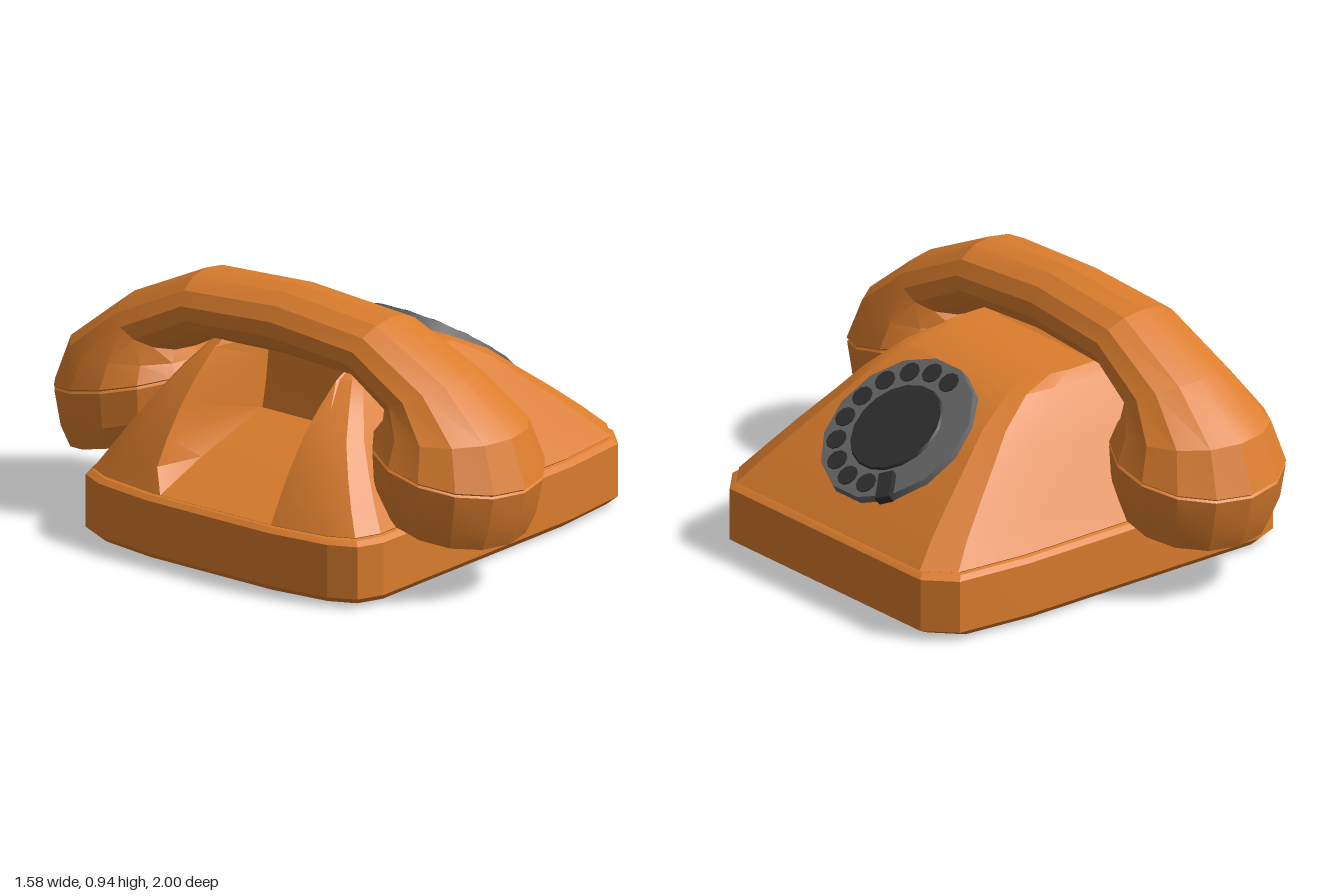
import * as THREE from 'three';
import { toCreasedNormals } from 'three/addons/utils/BufferGeometryUtils.js';

const orange = new THREE.MeshStandardMaterial({ color: 0xdb7d2d });
orange.name = 'orange plastic';
const grey = new THREE.MeshStandardMaterial({ color: 0x686868 });
grey.name = 'grey dial';
const dark = new THREE.MeshStandardMaterial({ color: 0x303030 });
dark.name = 'dark plastic';

// Skin a list of rings (arrays of Vector3) and close both ends.
// capDirs gives the vertical facing (+1 / -1) of the first and last cap.
function loft(rings, capDirs) {
  const n = rings[0].length;
  const index = [];
  for (let j = 0; j < rings.length - 1; j++) {
    for (let i = 0; i < n; i++) {
      const k = (i + 1) % n;
      const a = j * n + i, b = j * n + k, c = b + n, d = a + n;
      index.push(a, d, c, a, c, b);
    }
  }
  [0, rings.length - 1].forEach((j, end) => {
    const flat = rings[j].map((p) => new THREE.Vector2(p.x, p.z));
    for (const [a, b, c] of THREE.ShapeUtils.triangulateShape(flat, [])) {
      const e = flat[b].clone().sub(flat[a]), f = flat[c].clone().sub(flat[a]);
      const facing = e.y * f.x - e.x * f.y;
      const tri = facing * capDirs[end] > 0 ? [a, b, c] : [a, c, b];
      index.push(...tri.map((v) => v + j * n));
    }
  });
  const geo = new THREE.BufferGeometry().setFromPoints(rings.flat());
  geo.setIndex(index);
  return toCreasedNormals(geo, 0.3);
}

function addMesh(parent, name, geometry, material) {
  const mesh = new THREE.Mesh(geometry, material);
  mesh.name = name;
  parent.add(mesh);
  return mesh;
}

// Horizontal outline of the housing: chamfered front, rounded rear corners,
// and a rear notch reaching in to xHollow.
function housingRing([y, xBack, xHollow, xFront, zHalf]) {
  const len = xFront - xBack;
  const half = [
    [xFront, 0.8 * zHalf],
    [xFront - 0.06 * len, 0.955 * zHalf],
    [xFront - 0.24 * len, zHalf],
    [xBack + 0.11 * len, zHalf],
    [xBack + 0.05 * len, 0.94 * zHalf],
    [xBack + 0.02 * len, Math.max(0.79 * zHalf, 0.275)],
    [xBack, 0.27],
    [xHollow, 0.22],
  ];
  const other = half.map(([x, z]) => [x, -z]).reverse();
  return [...half, ...other].map(([x, z]) => new THREE.Vector3(x, y, z));
}

// Handset cross-section between an outer and an inner point in the zy plane.
function handsetRing([zo, yo, zi, yi, width]) {
  const ring = [];
  for (let i = 0; i < 14; i++) {
    const a = (i / 14) * Math.PI * 2;
    const c = Math.cos(a) / 2;
    ring.push(new THREE.Vector3(
      -0.29 + width * Math.sin(a),
      (yo + yi) / 2 + (yo - yi) * c,
      (zo + zi) / 2 + (zo - zi) * c,
    ));
  }
  return ring;
}

function makeDial() {
  const dial = new THREE.Group();
  dial.name = 'dial';
  dial.position.set(0.465, 0.535, 0);
  dial.rotation.z = -Math.atan2(0.6, 0.8);

  const rim = addMesh(dial, 'dialRim', new THREE.CylinderGeometry(0.296, 0.3, 0.046, 14), grey);
  rim.position.y = -0.023;
  const plate = addMesh(dial, 'dialCentre', new THREE.CylinderGeometry(0.175, 0.18, 0.009, 18), dark);
  plate.position.y = 0.0045;

  // Ten finger holes
  for (let i = 0; i < 10; i++) {
    const a = THREE.MathUtils.degToRad(-14 + i * 23.2);
    const hole = addMesh(dial, 'fingerHole', new THREE.CylinderGeometry(0.039, 0.039, 0.006, 10), dark);
    hole.position.set(0.236 * Math.cos(a), 0.002, 0.236 * Math.sin(a));
  }

  const stop = addMesh(dial, 'fingerStop', new THREE.BoxGeometry(0.11, 0.035, 0.055), dark);
  const a = THREE.MathUtils.degToRad(-36);
  stop.position.set(0.265 * Math.cos(a), 0.008, 0.265 * Math.sin(a));
  stop.rotation.y = -a;
  return dial;
}

export function createModel() {
  const phone = new THREE.Group();
  phone.name = 'telephone';

  // Base tray: y, xBack, xHollow, xFront, zHalf
  const base = [
    [0, -0.71, -0.71, 0.68, 0.59],
    [0.012, -0.765, -0.765, 0.74, 0.62],
    [0.035, -0.79, -0.79, 0.785, 0.64],
    [0.225, -0.79, -0.79, 0.785, 0.64],
    [0.24, -0.772, -0.772, 0.765, 0.622],
    [0.246, -0.755, -0.755, 0.75, 0.605],
  ];
  addMesh(phone, 'base', loft(base.map(housingRing), [-1, 1]), orange);

  // Upper shell with the carrying hollow at the back
  const shell = [
    [0.24, -0.755, -0.755, 0.75, 0.605],
    [0.25, -0.775, -0.775, 0.772, 0.617],
    [0.33, -0.73, -0.55, 0.685, 0.565],
    [0.42, -0.675, -0.22, 0.575, 0.51],
    [0.52, -0.6, -0.2, 0.445, 0.445],
    [0.6, -0.52, -0.19, 0.345, 0.395],
    [0.68, -0.42, -0.18, 0.19, 0.335],
    [0.71, -0.35, -0.17, 0.04, 0.3],
  ];
  addMesh(phone, 'shell', loft(shell.map(housingRing), [-1, 1]), orange);

  // Handset: outer z, outer y, inner z, inner y, half width
  const half = [
    [0.41, 0.905, 0.33, 0.68, 0.182],
    [0.73, 0.75, 0.46, 0.61, 0.212],
    [0.94, 0.58, 0.44, 0.575, 0.268],
    [1.0, 0.41, 0.41, 0.54, 0.31],
    [0.99, 0.403, 0.42, 0.533, 0.302],
    [0.998, 0.396, 0.41, 0.526, 0.309],
    [0.968, 0.27, 0.42, 0.4, 0.3],
    [0.93, 0.195, 0.46, 0.31, 0.27],
  ];
  const mirrored = half.map(([zo, yo, zi, yi, w]) => [-zo, yo, -zi, yi, w]).reverse();
  const sections = [...mirrored, [0, 0.935, 0, 0.69, 0.165], ...half];
  addMesh(phone, 'handset', loft(sections.map(handsetRing), [-1, -1]), orange);

  phone.add(makeDial());
  return phone;
}
